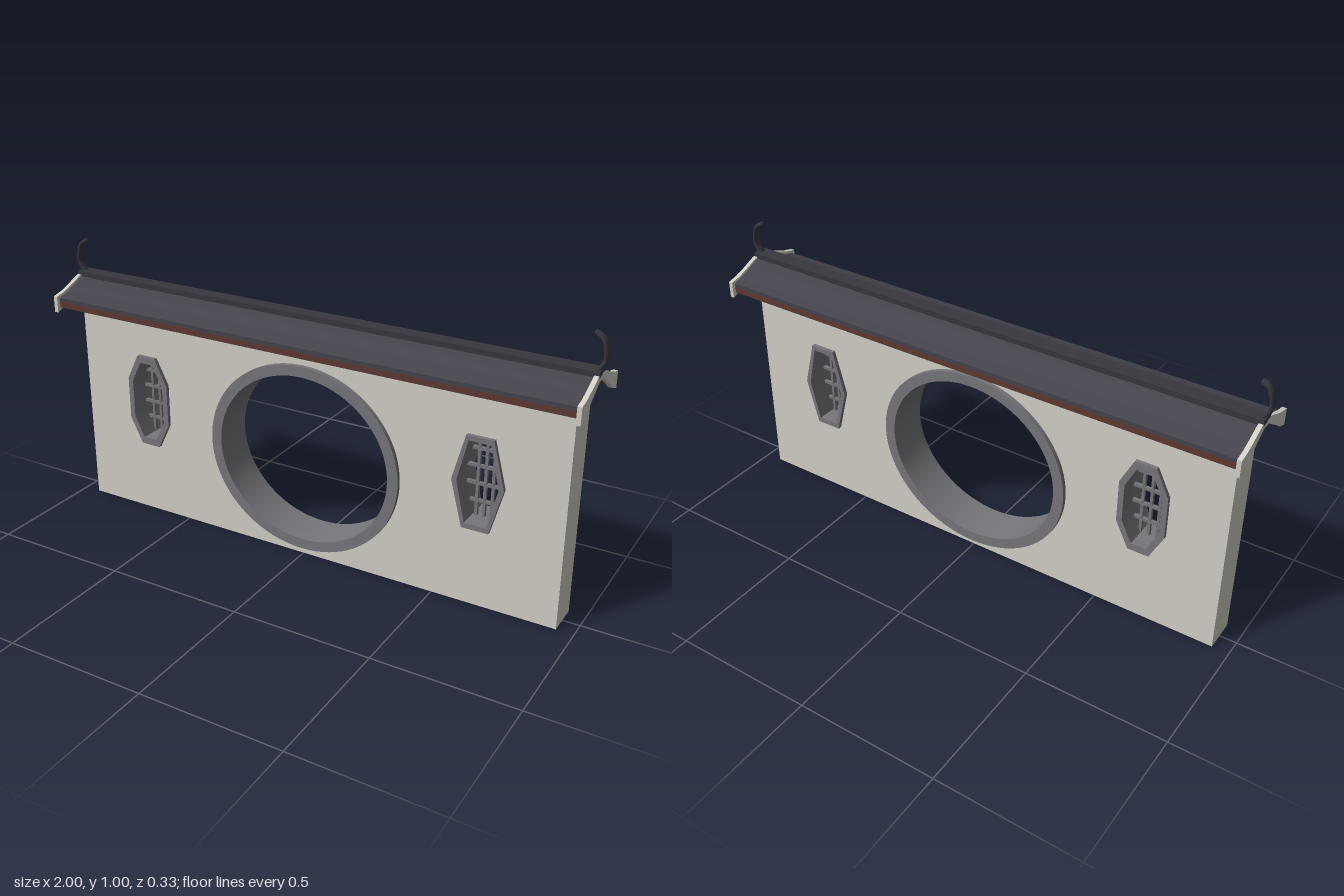
import * as THREE from 'three';
import { toCreasedNormals } from 'three/addons/utils/BufferGeometryUtils.js';

const mat = (name, color, side = THREE.FrontSide) =>
  Object.assign(new THREE.MeshStandardMaterial({ color, side }), { name });

// Extrude a shape and centre its depth on z = 0
function slab(shape, depth, segments = 40) {
  const g = new THREE.ExtrudeGeometry(shape, { depth, bevelEnabled: false, curveSegments: segments });
  g.translate(0, 0, -depth / 2);
  return toCreasedNormals(g, 0.5);
}

const poly = pts => pts.map(([x, y]) => new THREE.Vector2(x, y));

const ellipse = (C, x, y, rx, ry) => new C().absellipse(x, y, rx, ry, 0, Math.PI * 2, false, 0);

// Eight- or six-sided window outline: t half top, w half width, s half side, h half height
function windowOutline(cx, cy, { t, w, s, h }) {
  const pts = [[t, h], [-t, h], [-w, s]];
  if (s > 0) pts.push([-w, -s]);
  pts.push([-t, -h], [t, -h]);
  if (s > 0) pts.push([w, -s]);
  pts.push([w, s]);
  return poly(pts.map(([x, y]) => [x + cx, y + cy]));
}

// Closed, mirrored band in the z-y plane from half profiles running eave to ridge
function gableShape(top, bottom) {
  const side = (pts, k) => pts.map(([z, y]) => [z * k, y]);
  return new THREE.Shape(poly([
    ...side(top, 1), ...side(top, -1).reverse(),
    ...side(bottom, -1), ...side(bottom, 1).reverse(),
  ]));
}

export function createModel() {
  const model = new THREE.Group();
  const plaster = mat('plaster', 0xd3d1c8, THREE.DoubleSide);
  const stone = mat('grey stone', 0x77767b, THREE.DoubleSide);
  const tile = mat('roof tile', 0x45434c);
  const wood = mat('brown wood', 0x5f3a32);
  const ridgeDark = mat('dark ridge', 0x38373e);

  const add = (name, geometry, material, x = 0, y = 0, z = 0, parent = model) => {
    const m = new THREE.Mesh(geometry, material);
    m.name = name;
    m.position.set(x, y, z);
    parent.add(m);
    return m;
  };

  const gate = { y: 0.372, rx: 0.37, ry: 0.345 };
  const windows = [
    { name: 'rightWindow', x: -0.653, y: 0.447, bar: 0.031,
      outer: { t: 0.038, w: 0.086, s: 0.078, h: 0.174 },
      inner: { t: 0.027, w: 0.066, s: 0.07, h: 0.148 } },
    { name: 'leftWindow', x: 0.647, y: 0.447, bar: 0.027,
      outer: { t: 0.047, w: 0.09, s: 0, h: 0.164 },
      inner: { t: 0.038, w: 0.072, s: 0, h: 0.146 } },
  ];

  // Hollow wall, open underneath
  const W = 0.94, T = 0.06, H = 0.82;
  const face = new THREE.Shape(poly([[-W, 0], [W, 0], [W, H], [-W, H]]));
  face.holes.push(ellipse(THREE.Path, 0, gate.y, gate.rx - 0.01, gate.ry - 0.01));
  for (const w of windows) {
    const o = w.outer;
    face.holes.push(new THREE.Path(windowOutline(w.x, w.y, { t: o.t - 0.004, w: o.w - 0.008, s: o.s, h: o.h - 0.008 })));
  }
  const faceGeo = new THREE.ShapeGeometry(face, 48);
  const endGeo = new THREE.ShapeGeometry(new THREE.Shape(poly([[-T, 0], [T, 0], [T, H], [0, 0.85], [-T, H]])));
  endGeo.rotateY(Math.PI / 2);
  add('wallFront', faceGeo, plaster, 0, 0, T);
  add('wallBack', faceGeo, plaster, 0, 0, -T);
  for (const s of [-1, 1]) {
    const end = add(s > 0 ? 'wallLeftEnd' : 'wallRightEnd', endGeo, plaster, s * W);
    if (s < 0) end.rotation.y = Math.PI;
  }

  // Oval gate surround
  const ring = ellipse(THREE.Shape, 0, gate.y, gate.rx, gate.ry);
  ring.holes.push(ellipse(THREE.Path, 0, gate.y, 0.331, 0.307));
  add('gateRing', slab(ring, 0.152), stone);

  // Windows with lattice
  for (const w of windows) {
    const group = new THREE.Group();
    group.name = w.name;
    group.position.set(w.x, w.y, 0);
    model.add(group);
    const frame = new THREE.Shape(windowOutline(0, 0, w.outer));
    frame.holes.push(new THREE.Path(windowOutline(0, 0, w.inner)));
    add('windowFrame', slab(frame, 0.148), stone, 0, 0, 0, group);
    for (const i of [-1, 0, 1])
      add('verticalBar', new THREE.BoxGeometry(0.01, w.inner.h * 2 + 0.01, 0.012), stone, i * w.bar, 0, 0, group);
    for (const y of [-0.093, -0.031, 0.031, 0.093]) {
      const { t, w: hw, s, h } = w.inner;
      const k = Math.max(0, (Math.abs(y) - s) / (h - s));
      add('horizontalBar', new THREE.BoxGeometry(2 * (hw + (t - hw) * k) + 0.01, 0.01, 0.012), stone, 0, y, 0, group);
    }
  }

  // Sweeping roof: tile layer over wooden eave layer
  const profile = [[0.152, 0.815], [0.12, 0.823], [0.08, 0.84], [0.03, 0.862], [0.008, 0.866]];
  const drop = d => profile.map(([z, y]) => [z, y - d]);
  const along = (shape, length) => slab(shape, length).rotateY(Math.PI / 2);
  add('roofTiles', along(gableShape(profile, drop(0.015)), 1.938), tile);
  add('eaveBoards', along(gableShape(drop(0.015), drop(0.036)), 1.938), wood);

  // Curved gable boards at both ends
  const boardTop = [[0.165, 0.822], [0.125, 0.831], [0.085, 0.846], [0.035, 0.868], [0.015, 0.87]];
  const boardBottom = [[0.165, 0.763], [0.125, 0.778], [0.08, 0.81], [0.05, 0.828], [0.018, 0.849]];
  const boardGeo = along(gableShape(boardTop, boardBottom), 0.015);

  // Ridge beam and upturned finials
  add('ridgeBase', new THREE.BoxGeometry(1.96, 0.012, 0.044), ridgeDark, 0, 0.86);
  add('ridgeBeam', new THREE.BoxGeometry(1.968, 0.02, 0.054), ridgeDark, 0, 0.871);
  const path = new THREE.CatmullRomCurve3([
    [0.966, 0.872], [0.982, 0.893], [0.991, 0.912], [0.99, 0.94], [0.984, 0.966], [0.972, 0.983], [0.957, 0.991],
  ].map(([x, y]) => new THREE.Vector3(x, y, 0)));
  const hook = new THREE.TubeGeometry(path, 14, 0.008, 8, false).scale(1, 1, 1.9);
  const tip = new THREE.SphereGeometry(0.008, 8, 6).scale(1, 1, 1.9);
  for (const s of [-1, 1]) {
    const side = s > 0 ? 'left' : 'right';
    add(side + 'GableBoard', boardGeo, plaster, s * 0.9765);
    const finial = new THREE.Group();
    finial.name = side + 'Finial';
    if (s < 0) finial.rotation.y = Math.PI;
    model.add(finial);
    add('hook', hook, ridgeDark, 0, 0, 0, finial);
    add('hookTip', tip, ridgeDark, 0.957, 0.991, 0, finial);
  }
  return model;
}
